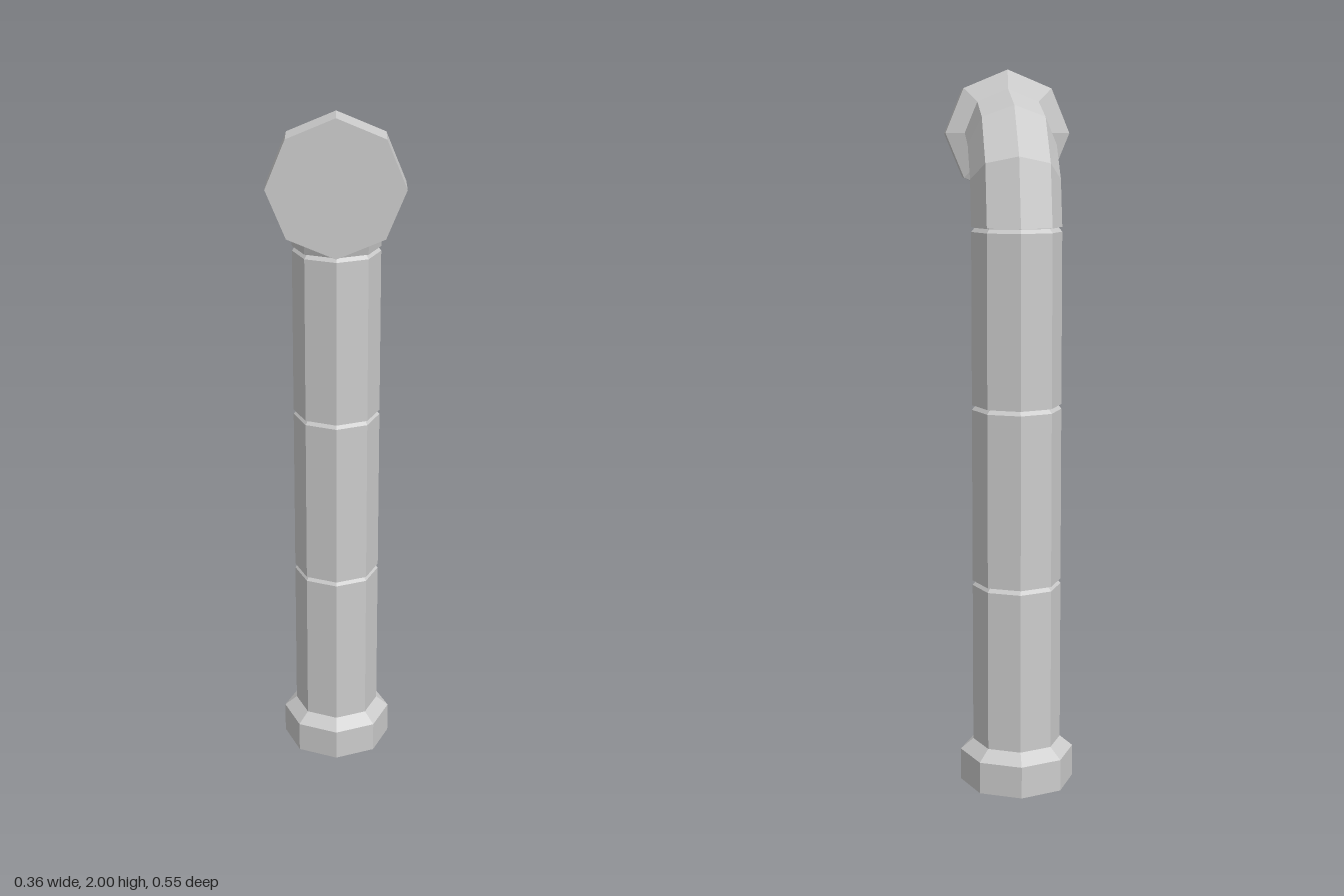
import * as THREE from 'three';

const SIDES = 8;
const RADIUS = 0.124;
const PIPE_Z = -0.117;
const ELBOW_Y = 1.57;
const ELBOW_REACH = 0.28;
const ELBOW_RISE = 0.253;

export function createModel() {
  const group = new THREE.Group();
  const material = new THREE.MeshStandardMaterial({
    color: 0xcccccc, flatShading: true, side: THREE.DoubleSide,
  });

  const add = (name, geometry, x, y, z) => {
    const mesh = new THREE.Mesh(geometry, material);
    mesh.name = name;
    mesh.position.set(x, y, z);
    group.add(mesh);
    return mesh;
  };
  // Eight-sided turned part from [radius, height] pairs
  const turned = (profile) =>
    new THREE.LatheGeometry(profile.map(([r, h]) => new THREE.Vector2(r, h)), SIDES);

  // Foot collar
  add('baseCollar', turned([[0, 0], [0.16, 0], [0.16, 0.09], [RADIUS, 0.12]]), 0, 0, PIPE_Z);

  // Upright sections, each narrowing at its top into a thin joint groove
  const joints = [0.12, 0.585, 1.083, ELBOW_Y];
  for (let i = 0; i < 3; i++) {
    const h = joints[i + 1] - joints[i];
    add(`pipeSection${i + 1}`, turned([
      [RADIUS, 0], [RADIUS, h - 0.013], [RADIUS - 0.009, h - 0.002],
      [RADIUS - 0.009, h], [RADIUS, h],
    ]), 0, joints[i], PIPE_Z);
  }

  // Elbow: a straight tube bent through a quarter turn in three steps
  const elbow = new THREE.CylinderGeometry(RADIUS, RADIUS, 1, SIDES, 3, true);
  const p = elbow.attributes.position;
  for (let i = 0; i < p.count; i++) {
    const a = (p.getY(i) + 0.5) * Math.PI / 2;
    const offset = p.getZ(i);
    p.setY(i, ELBOW_RISE * Math.sin(a) - offset * Math.sin(a));
    p.setZ(i, ELBOW_REACH * (1 - Math.cos(a)) + offset * Math.cos(a));
  }
  elbow.computeVertexNormals();
  add('elbow', elbow, 0, ELBOW_Y, PIPE_Z);

  // Closed flange at the mouth, facing forward
  const flange = add('mouthFlange',
    turned([[RADIUS, 0], [0.178, 0.016], [0.178, 0.114], [0, 0.114]]),
    0, ELBOW_Y + ELBOW_RISE, PIPE_Z + ELBOW_REACH);
  flange.rotation.x = Math.PI / 2;

  return group;
}
